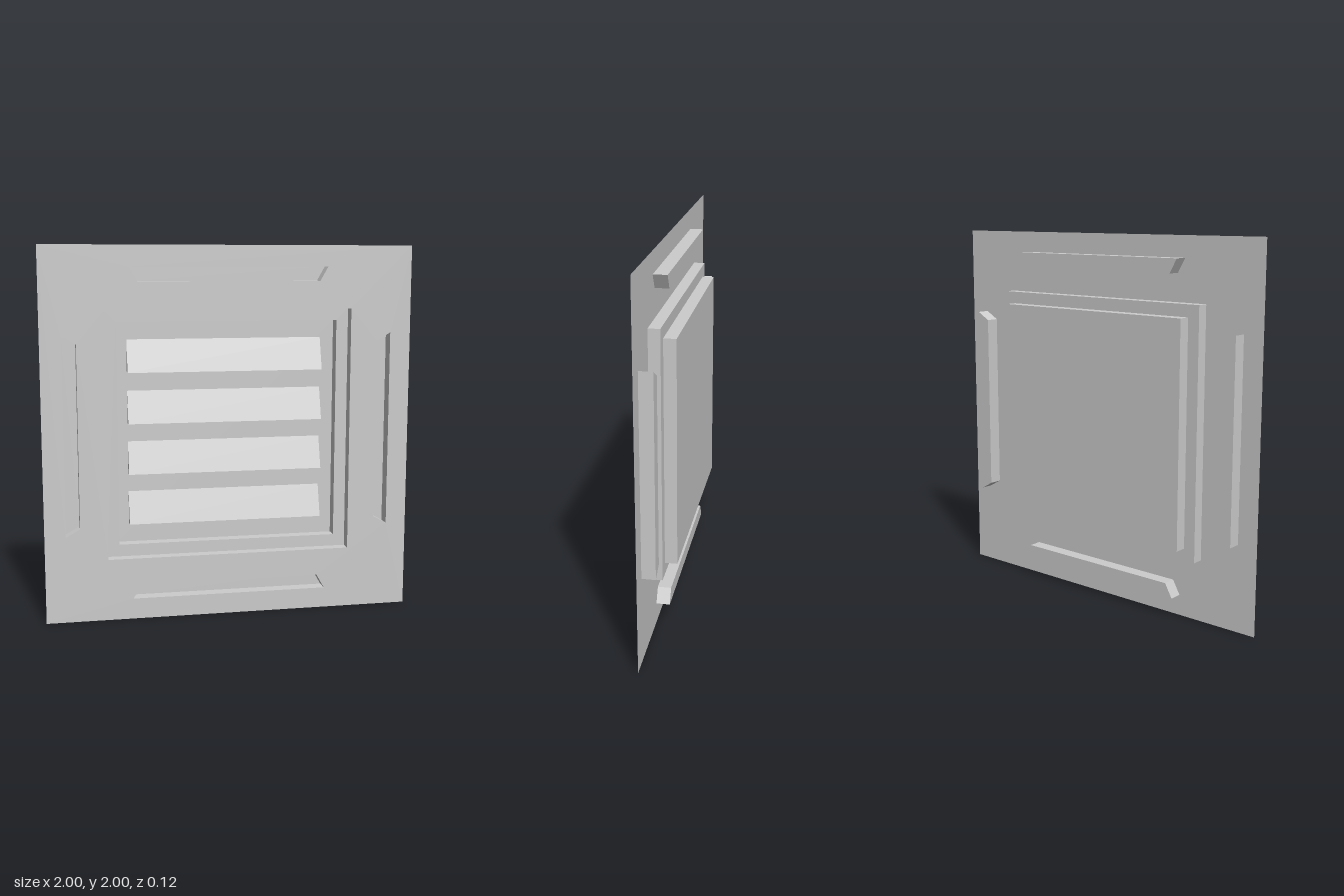
import * as THREE from 'three';

const FRONT = 0.0625, STEP = 0.002, SLOT = -0.009, BACK = -0.0625, MID = 1;

const metal = new THREE.MeshStandardMaterial({
  color: 0xcccccc, flatShading: true, side: THREE.DoubleSide,
});

// Corners of a square around the panel centre
const square = (h) => [[-h, MID - h], [h, MID - h], [h, MID + h], [-h, MID + h]]
  .map(([x, y]) => new THREE.Vector2(x, y));

// Trapezoid slot outline, turned about the panel centre
function slotOutline(turn) {
  const centre = new THREE.Vector2(0, MID);
  return [[-0.49, 0.812], [0.49, 0.812], [0.533, 0.888], [-0.533, 0.888]]
    .map(([x, y]) => new THREE.Vector2(x, MID + y).rotateAround(centre, turn));
}

function addMesh(parent, name, geometry) {
  const mesh = new THREE.Mesh(geometry, metal);
  mesh.name = name;
  parent.add(mesh);
}

// Flat sheet with optional openings
function addSheet(parent, name, outline, z, openings = []) {
  const shape = new THREE.Shape(outline);
  shape.holes = openings.map((o) => new THREE.Path(o));
  addMesh(parent, name, new THREE.ShapeGeometry(shape).translate(0, 0, z));
}

// Recess walls facing into the opening
function addWalls(parent, name, outline, zFront, zBack) {
  const positions = [];
  outline.forEach((a, i) => {
    const b = outline[(i + 1) % outline.length];
    positions.push(
      a.x, a.y, zFront, b.x, b.y, zFront, b.x, b.y, zBack,
      a.x, a.y, zFront, b.x, b.y, zBack, a.x, a.y, zBack);
  });
  const geometry = new THREE.BufferGeometry();
  geometry.setAttribute('position', new THREE.Float32BufferAttribute(positions, 3));
  geometry.computeVertexNormals();
  addMesh(parent, name, geometry);
}

export function createModel() {
  const model = new THREE.Group();
  model.name = 'ventPanel';

  const outer = square(0.665), inner = square(0.6);
  const slots = [0, 1, 2, 3].map((i) => slotOutline(i * Math.PI / 2));

  // Face plate with the central opening and four slots
  addSheet(model, 'facePlate', square(1), FRONT, [outer, ...slots]);

  // Stepped central recess
  addWalls(model, 'outerRecessWalls', outer, FRONT, STEP);
  addSheet(model, 'recessLedge', outer, STEP, [inner]);
  addWalls(model, 'innerRecessWalls', inner, STEP, BACK);
  addSheet(model, 'backPanel', inner, BACK);

  // Slots around the border
  const sides = ['top', 'left', 'bottom', 'right'];
  // Quarter turns run top, -x, bottom, +x
  sides[1] = 'right';
  sides[3] = 'left';
  slots.forEach((outline, i) => {
    const slot = new THREE.Group();
    slot.name = sides[i] + 'Slot';
    addWalls(slot, 'slotWalls', outline, FRONT, SLOT);
    addSheet(slot, 'slotFloor', outline, SLOT);
    model.add(slot);
  });

  // Wedge louvres, sloping out towards their lower edge
  const profile = new THREE.Shape([[BACK, 0], [-0.012, 0], [BACK, 0.175]]
    .map(([z, y]) => new THREE.Vector2(-z, y)));
  const louvre = new THREE.ExtrudeGeometry(profile, { depth: 1.065, bevelEnabled: false })
    .rotateY(Math.PI / 2).translate(-0.54, 0, 0);
  for (let i = 0; i < 4; i++) {
    addMesh(model, 'louvre', louvre.clone().translate(0, 0.505 + i * 0.275, 0));
  }
  return model;
}
